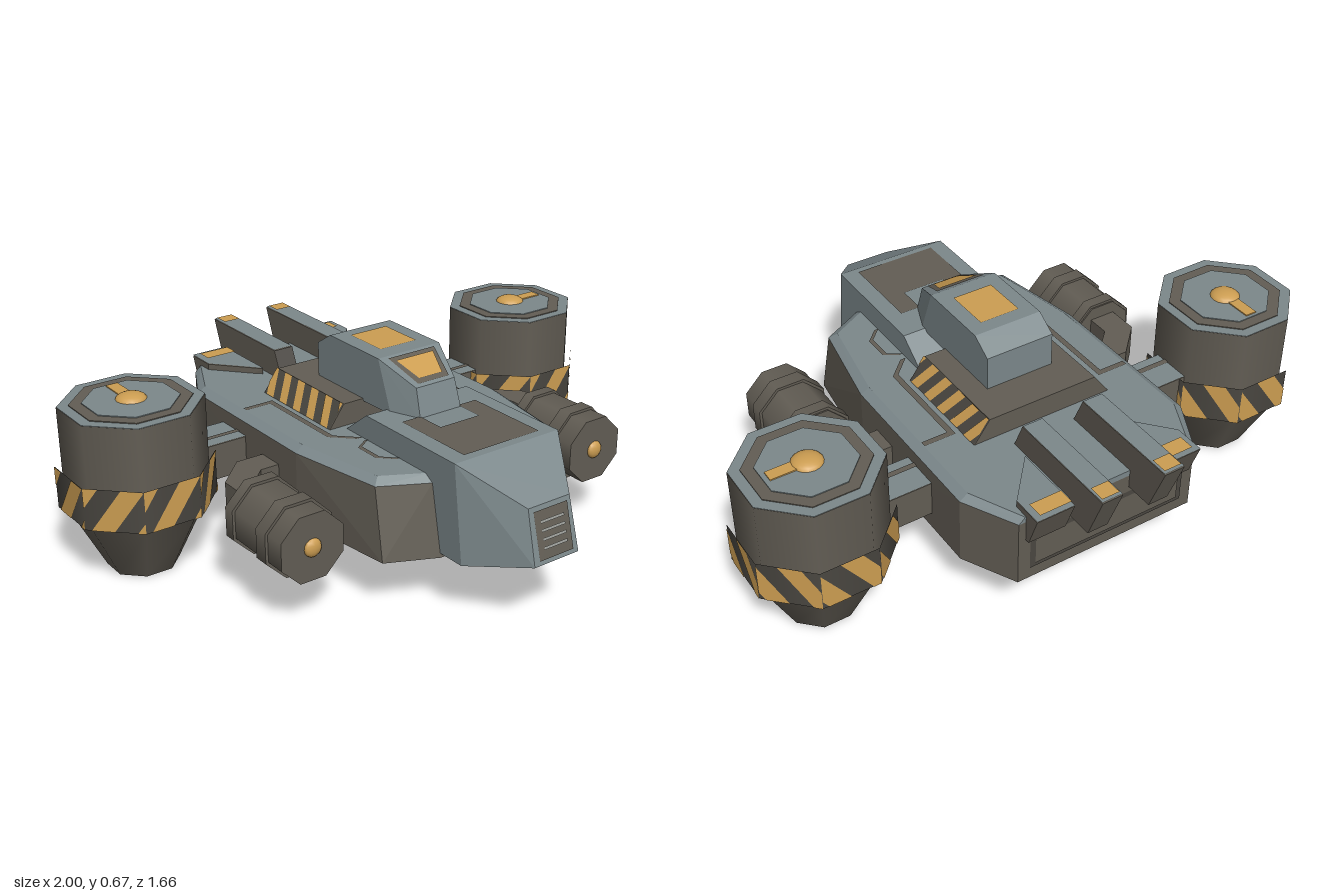
import * as THREE from 'three';
import { ConvexGeometry } from 'three/addons/geometries/ConvexGeometry.js';

const mat = (name, color) => {
  const m = new THREE.MeshStandardMaterial({ color });
  m.name = name;
  return m;
};

export function createModel() {
  const grey = mat('hull grey', 0x7c888b), brown = mat('dark brown', 0x625d54);
  const orange = mat('amber', 0xcd9e52), dark = mat('charcoal', 0x4a4741), pale = mat('grille light', 0x9a9c98);
  const root = new THREE.Group();
  root.name = 'ship';
  const V = (p) => new THREE.Vector3(...p);

  const add = (name, geo, m, parent = root) => {
    const mesh = new THREE.Mesh(geo, m);
    mesh.name = name;
    parent.add(mesh);
    return mesh;
  };
  const box = (name, m, x0, x1, y0, y1, z0, z1) => {
    const b = add(name, new THREE.BoxGeometry(Math.abs(x1 - x0), y1 - y0, z1 - z0), m);
    b.position.set((x0 + x1) / 2, (y0 + y1) / 2, (z0 + z1) / 2);
    return b;
  };
  // flat-faced solid around a set of corners, optionally flipped in x
  const solid = (name, m, pts, s = 1) =>
    add(name, new ConvexGeometry(pts.map(([x, y, z]) => V([x * s, y, z]))), m);
  const bothX = (pts) => pts.flatMap(([x, y, z]) => [[x, y, z], [-x, y, z]]);

  // 2D polygons laid on the plane O + u*U + v*W, raised slightly along the normal
  const plate = (name, m, O, U, W, polys, s = 1, parent = root, lift = 0.003) => {
    const u = V(U), w = V(W), n = u.clone().cross(w).normalize(), out = [];
    for (const poly of polys) {
      const pts = poly.map((p) => new THREE.Vector2(...p));
      if (THREE.ShapeUtils.isClockWise(pts)) pts.reverse();
      for (const tri of THREE.ShapeUtils.triangulateShape(pts, [])) {
        for (const i of s < 0 ? [...tri].reverse() : tri) {
          const p = V(O).addScaledVector(u, pts[i].x).addScaledVector(w, pts[i].y).addScaledVector(n, lift);
          out.push(p.x * s, p.y, p.z);
        }
      }
    }
    const g = new THREE.BufferGeometry();
    g.setAttribute('position', new THREE.Float32BufferAttribute(out, 3));
    g.computeVertexNormals();
    return add(name, g, m, parent);
  };
  const rect = (a, b, c, d) => [[a, c], [b, c], [b, d], [a, d]];
  // plate on a horizontal surface, polygons given as [x, z]
  const topPlate = (name, m, y, polys, s = 1) =>
    plate(name, m, [0, y, 0], [1, 0, 0], [0, 0, -1], polys.map((q) => q.map(([x, z]) => [x, -z])), s);

  // slanted stripes clipped to a w by h panel
  const clip = (poly, k, sign) => poly.flatMap((p, i) => {
    const q = poly[(i + 1) % poly.length], a = (p[0] - k) * sign, b = (q[0] - k) * sign, r = [];
    if (a >= 0) r.push(p);
    if (a * b < 0) r.push([k, p[1] + (q[1] - p[1]) * (a / (a - b))]);
    return r;
  });
  const stripes = (w, h, pitch, slant, start = 0) => {
    const list = [];
    for (let x = start - 4 * pitch; x < w + 4 * pitch; x += pitch) {
      const q = clip(clip([[x, 0], [x + pitch / 2, 0], [x + pitch / 2 + slant, h], [x + slant, h]], 0, 1), w, -1);
      if (q.length > 2) list.push(q);
    }
    return list;
  };
  // eight-sided cylinder with flats on the axes, sized by its flats
  const C8 = Math.cos(Math.PI / 8);
  const octagon = (top, bottom, h, open = false) =>
    new THREE.CylinderGeometry(top / C8, bottom / C8, h, 8, 1, open, Math.PI / 8);

  // Main hull with bevelled grey deck
  const upper = [[0.32, 0.41, -0.68], [0.41, 0.41, -0.505], [0.408, 0.41, 0.09], [0.35, 0.41, 0.42], [0.2, 0.41, 0.5]];
  const lower = [[0.32, 0.18, -0.68], [0.41, 0.18, -0.505], [0.41, 0.18, 0.09], [0.36, 0.18, 0.47], [0.2, 0.18, 0.545]];
  solid('hull', brown, bothX([...upper, ...lower]));
  solid('deck', grey, bothX([...upper, ...upper.map(([x, , z]) => [x * 0.93, 0.43, z < 0 ? z : z * 0.95])]));
  plate('rearPanelFrame', dark, [0, 0, -0.68], [-1, 0, 0], [0, 1, 0], [rect(-0.28, 0.28, 0.22, 0.35)]);
  plate('rearPanel', brown, [0, 0, -0.683], [-1, 0, 0], [0, 1, 0], [rect(-0.262, 0.262, 0.235, 0.335)]);

  // Nose
  solid('nose', grey, bothX([
    [0.2, 0.425, 0.06], [0.2, 0.19, 0.06], [0.2, 0.51, 0.17], [0.2, 0.51, 0.6], [0.2, 0.195, 0.64],
    [0.08, 0.405, 0.785], [0.085, 0.235, 0.83]]));
  topPlate('nosePanel', brown, 0.51, [[[-0.145, 0.28], [-0.075, 0.28], [-0.075, 0.38], [0.075, 0.38],
    [0.075, 0.28], [0.145, 0.28], [0.145, 0.575], [-0.145, 0.575]]]);
  const grilleUp = [0, 0.17, -0.045];
  plate('grille', brown, [0, 0.235, 0.83], [1, 0, 0], grilleUp, [rect(-0.065, 0.065, 0.08, 0.92)]);
  plate('grilleBars', pale, [0, 0.235, 0.83], [1, 0, 0], grilleUp,
    [0.25, 0.4, 0.55, 0.7].map((v) => rect(-0.045, 0.045, v, v + 0.05)), 1, root, 0.006);

  // Raised mid deck
  solid('midDeck', brown, bothX([[0.25, 0.43, -0.335], [0.25, 0.43, 0.045], [0.195, 0.505, -0.335], [0.195, 0.505, 0.045]]));

  // Cockpit
  solid('cockpit', grey, bothX([[0.12, 0.49, -0.205], [0.12, 0.62, -0.205], [0.12, 0.665, -0.135],
    [0.12, 0.665, 0.125], [0.12, 0.5, 0.19], [0.075, 0.6, 0.26], [0.08, 0.5, 0.29]]));
  topPlate('roofHatch', orange, 0.665, [rect(-0.07, 0.07, -0.09, 0.07)]);
  plate('windshieldFrame', brown, [0, 0.6, 0.26], [1, 0, 0], [0, 0.065, -0.135],
    [[[-0.06, 0.08], [0.06, 0.08], [0.09, 0.92], [-0.09, 0.92]]]);
  plate('windshield', orange, [0, 0.6, 0.26], [1, 0, 0], [0, 0.065, -0.135],
    [[[-0.045, 0.2], [0.045, 0.2], [0.072, 0.8], [-0.072, 0.8]]], 1, root, 0.006);

  for (const s of [1, -1]) {
    // Hazard panels along the mid deck
    const O = [0.25, 0.43, 0.045], U = [0, 0, -1], W = [-0.055, 0.075, 0];
    plate('hazardPanel', dark, O, U, W, [rect(0, 0.38, 0, 1)], s);
    plate('hazardStripes', orange, O, U, W, stripes(0.38, 1, 0.078, 0.045, 0.01), s, root, 0.006);

    // Intake louvres on the angled front corners
    plate('intake', dark, [0.36, 0.18, 0.47], [-0.16, 0, 0.075], [0, 0.23, -0.048], [rect(0.1, 0.88, 0.08, 0.92)], s);
    plate('louvres', brown, [0.36, 0.18, 0.47], [-0.16, 0, 0.075], [0, 0.23, -0.048],
      [0.15, 0.34, 0.53, 0.72].map((v) => rect(0.18, 0.8, v, v + 0.1)), s, root, 0.006);

    // Inlaid deck lines
    topPlate('deckLine', brown, 0.43, [rect(0.27, 0.38, -0.26, -0.24), rect(0.27, 0.29, -0.24, 0.09),
      [[0.27, 0.09], [0.29, 0.09], [0.225, 0.155], [0.205, 0.155]],
      rect(0.245, 0.26, 0.21, 0.3), [[0.245, 0.3], [0.26, 0.3], [0.215, 0.345], [0.2, 0.345]],
      [[0.245, 0.21], [0.26, 0.21], [0.215, 0.18], [0.2, 0.18]]], s);

    // Inner rear fins
    solid('innerFin', brown, [0.075, 0.145].flatMap((x) => [[x, 0.525, -0.835], [x, 0.365, -0.775],
      [x, 0.365, -0.6], [x, 0.42, -0.39], [x, 0.525, -0.435]]), s);
    topPlate('innerFinTop', grey, 0.525, [rect(0.075, 0.145, -0.832, -0.437)], s);
    topPlate('innerFinTip', orange, 0.529, [rect(0.08, 0.14, -0.825, -0.77)], s);
    plate('innerFinNose', dark, [0.075, 0.42, -0.39], [0.07, 0, 0], [0, 0.105, -0.045], [rect(0, 1, 0, 1)], s);

    // Outer rear fins
    const tri = [[0.165, -0.735], [0.295, -0.735], [0.295, -0.63], [0.165, -0.48]];
    solid('outerFin', brown, [...tri.map(([x, z]) => [x, 0.45, z]), [0.165, 0.34, -0.695], [0.295, 0.34, -0.695],
      [0.295, 0.34, -0.63], [0.165, 0.34, -0.5]], s);
    topPlate('outerFinTop', grey, 0.45, [tri], s);
    topPlate('outerFinPatch', orange, 0.454, [rect(0.165, 0.275, -0.72, -0.665)], s);

    // Pylon out to the lift pod
    box('pylon', brown, s * 0.4, s * 0.58, 0.24, 0.36, -0.345, -0.205);
    topPlate('pylonTop', grey, 0.36, [rect(0.4, 0.575, -0.345, -0.205)], s);
    topPlate('pylonLine', brown, 0.364, [rect(0.4, 0.575, -0.26, -0.24)], s);

    // Elbow pipe carrying the forward thruster
    const bend = [[0.4, -0.105], [0.505, -0.105], [0.61, 0], [0.61, 0.12], [0.515, 0.12], [0.515, 0.03], [0.475, -0.01], [0.4, -0.01]];
    const elbow = new THREE.Shape(bend.map(([x, z]) => new THREE.Vector2(x * s, -z)));
    const pipe = new THREE.ExtrudeGeometry(elbow, { depth: 0.115, bevelEnabled: false });
    add('elbowPipe', pipe.rotateX(-Math.PI / 2).translate(0, 0.22, 0), brown);

    // Forward thruster barrel with rings
    const barrel = new THREE.Group();
    barrel.name = 'thruster';
    barrel.position.set(s * 0.562, 0.272, 0);
    root.add(barrel);
    for (const [name, r, z0, z1] of [['barrel', 0.108, 0.11, 0.405], ['frontRing', 0.117, 0.285, 0.335], ['rearRing', 0.117, 0.115, 0.155]])
      add(name, octagon(r, r, z1 - z0), brown, barrel).rotateX(Math.PI / 2).position.z = (z0 + z1) / 2;
    const tip = add('barrelTip', new THREE.SphereGeometry(0.03, 12, 8), orange, barrel);
    tip.scale.z = 0.5;
    tip.position.z = 0.405;

    // Lift pod
    const pod = new THREE.Group();
    pod.name = 'liftPod';
    pod.position.set(s * 0.77, 0, -0.27);
    root.add(pod);
    add('podBody', octagon(0.21, 0.21, 0.338), brown, pod).position.y = 0.387;
    add('podCone', octagon(0.21, 0.107, 0.22), brown, pod).position.y = 0.11;
    add('podBand', octagon(0.23, 0.23, 0.14, true), dark, pod).position.y = 0.29;
    [[0.209, grey], [0.176, brown], [0.14, grey]].forEach(([r, m], i) => {
      add('podLid', octagon(r, r, 0.003), m, pod).position.y = 0.556 + i * 0.003;
    });
    const side = 2 * 0.23 * Math.tan(Math.PI / 8);
    for (let k = 0; k < 8; k++) {
      const a = k * Math.PI / 4, c = Math.cos(a), n = Math.sin(a);
      const dir = Math.abs(c) > 0.01 ? Math.sign(c) : -Math.sign(n);
      plate('podStripes', orange, [n * 0.23 - c * side / 2, 0.22, c * 0.23 + n * side / 2], [c, 0, -n], [0, 1, 0],
        stripes(side, 0.14, 0.145, dir * 0.1, 0.02), 1, pod, 0.002);
    }
    const dome = add('podDome', new THREE.SphereGeometry(0.05, 16, 6, 0, Math.PI * 2, 0, Math.PI / 2), orange, pod);
    dome.scale.y = 0.45;
    dome.position.y = 0.56;
    const bar = add('podBar', new THREE.BoxGeometry(s > 0 ? 0.125 : 0.04, 0.004, s > 0 ? 0.04 : 0.13), orange, pod);
    bar.position.set(s > 0 ? 0.0625 : 0, 0.5655, s > 0 ? 0 : -0.065);
  }
  return root;
}
